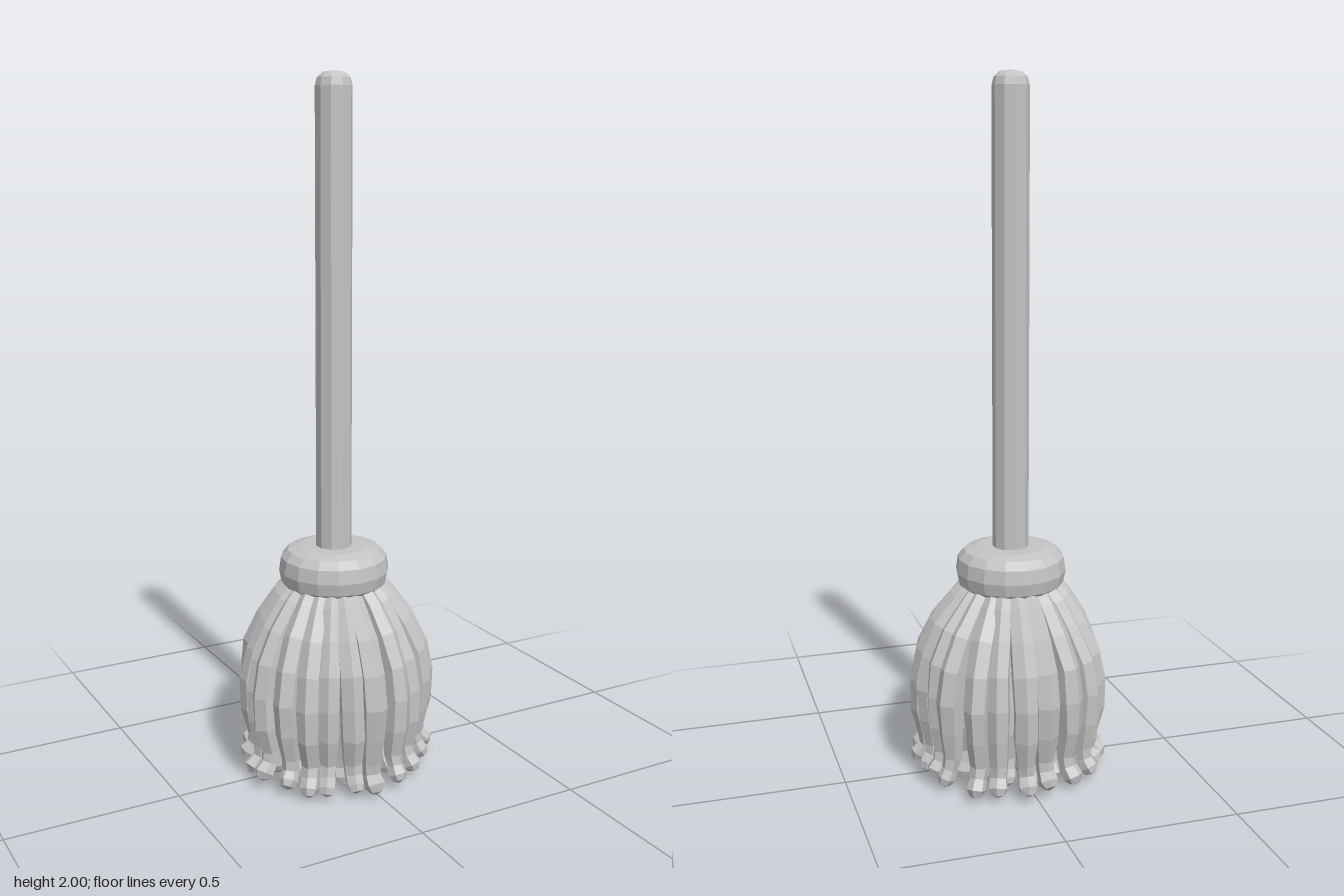
import * as THREE from 'three';

// Small seeded generator, returns -1..1
let seed = 7;
const jitter = () => {
  seed = (seed * 16807) % 2147483647;
  return (seed / 2147483647) * 2 - 1;
};

// One yarn strand: six-sided loops swept along a path of [radius, y, thickness]
function strandGeometry(path, angle, twist) {
  const sides = 6, pos = [], index = [];
  const point = (i) => {
    const [r, y] = path[i];
    const a = angle + twist * i / path.length;
    return new THREE.Vector3(Math.sin(a) * r, y, Math.cos(a) * r);
  };
  const last = path.length - 1;
  for (let i = 0; i <= last; i++) {
    const c = point(i);
    const t = point(Math.min(i + 1, last)).sub(point(Math.max(i - 1, 0))).normalize();
    const n = new THREE.Vector3(Math.sin(angle), 0, Math.cos(angle));
    n.addScaledVector(t, -n.dot(t)).normalize();
    const b = new THREE.Vector3().crossVectors(t, n);
    for (let j = 0; j < sides; j++) {
      const u = (j / sides) * Math.PI * 2;
      const p = c.clone()
        .addScaledVector(n, Math.cos(u) * path[i][2])
        .addScaledVector(b, Math.sin(u) * path[i][2]);
      pos.push(p.x, Math.max(p.y, 0), p.z);
      if (i < last) {
        const k = i * sides + j, m = i * sides + (j + 1) % sides;
        index.push(k, m, k + sides, m, m + sides, k + sides);
      }
    }
  }
  // Closed tip
  const end = point(last);
  pos.push(end.x, Math.max(end.y - 0.008, 0), end.z);
  for (let j = 0; j < sides; j++) {
    index.push(last * sides + j, last * sides + (j + 1) % sides, (last + 1) * sides);
  }
  const g = new THREE.BufferGeometry();
  g.setAttribute('position', new THREE.Float32BufferAttribute(pos, 3));
  g.setIndex(index);
  g.computeVertexNormals();
  return g;
}

export function createModel() {
  seed = 7;
  const grey = new THREE.MeshStandardMaterial({ color: 0xc4c4c4, flatShading: true });
  grey.name = 'light grey';
  const model = new THREE.Group();
  model.name = 'mop';
  const add = (name, geometry, parent = model) => {
    const mesh = new THREE.Mesh(geometry, grey);
    mesh.name = name;
    parent.add(mesh);
  };
  const lathe = (points, sides) =>
    new THREE.LatheGeometry(points.map(([x, y]) => new THREE.Vector2(x, y)), sides);

  // Handle with rounded top
  add('handle', lathe([[0.052, 0.6], [0.052, 1.96], [0.046, 1.982], [0.03, 1.996], [0, 2]], 10));

  // Collar holding the strands
  add('collar', lathe([
    [0, 0.54], [0.125, 0.54], [0.153, 0.565], [0.16, 0.6], [0.154, 0.64], [0.135, 0.662], [0.1, 0.671], [0, 0.671],
  ], 16));

  // Bulging strands, pinched near the floor and flared at the tip
  const profile = [
    [0.105, 0.57, 0.026], [0.15, 0.52, 0.03], [0.2, 0.445, 0.034], [0.238, 0.36, 0.036],
    [0.253, 0.27, 0.036], [0.25, 0.18, 0.034], [0.238, 0.1, 0.027], [0.245, 0.065, 0.025],
    [0.262, 0.04, 0.028], [0.268, 0.024, 0.019],
  ];
  const rings = [
    { name: 'outerStrands', count: 23, scale: 1 },
    { name: 'middleStrands', count: 16, scale: 0.76 },
    { name: 'innerStrands', count: 10, scale: 0.5 },
    { name: 'coreStrands', count: 5, scale: 0.24 },
  ];
  rings.forEach(({ name, count, scale }) => {
    const ring = new THREE.Group();
    ring.name = name;
    for (let i = 0; i < count; i++) {
      const angle = ((i + 0.2 * jitter()) / count) * Math.PI * 2;
      const spread = scale * (1 + 0.04 * jitter());
      const lift = 0.012 * jitter();
      const path = profile.map(([r, y, w], k) => [
        r * (k < 2 ? scale : spread) + 0.004 * jitter(),
        y + lift * (k / (profile.length - 1)),
        w * (1 + 0.08 * jitter()),
      ]);
      add('strand', strandGeometry(path, angle, 0.1 * jitter()), ring);
    }
    model.add(ring);
  });

  // Centre strand touching the floor
  add('centreStrand', strandGeometry(
    [[0.001, 0.56, 0.026], [0.001, 0.3, 0.034], [0.001, 0.08, 0.025], [0.001, 0.035, 0.028], [0.001, 0.008, 0.018]], 0, 0));

  return model;
}
